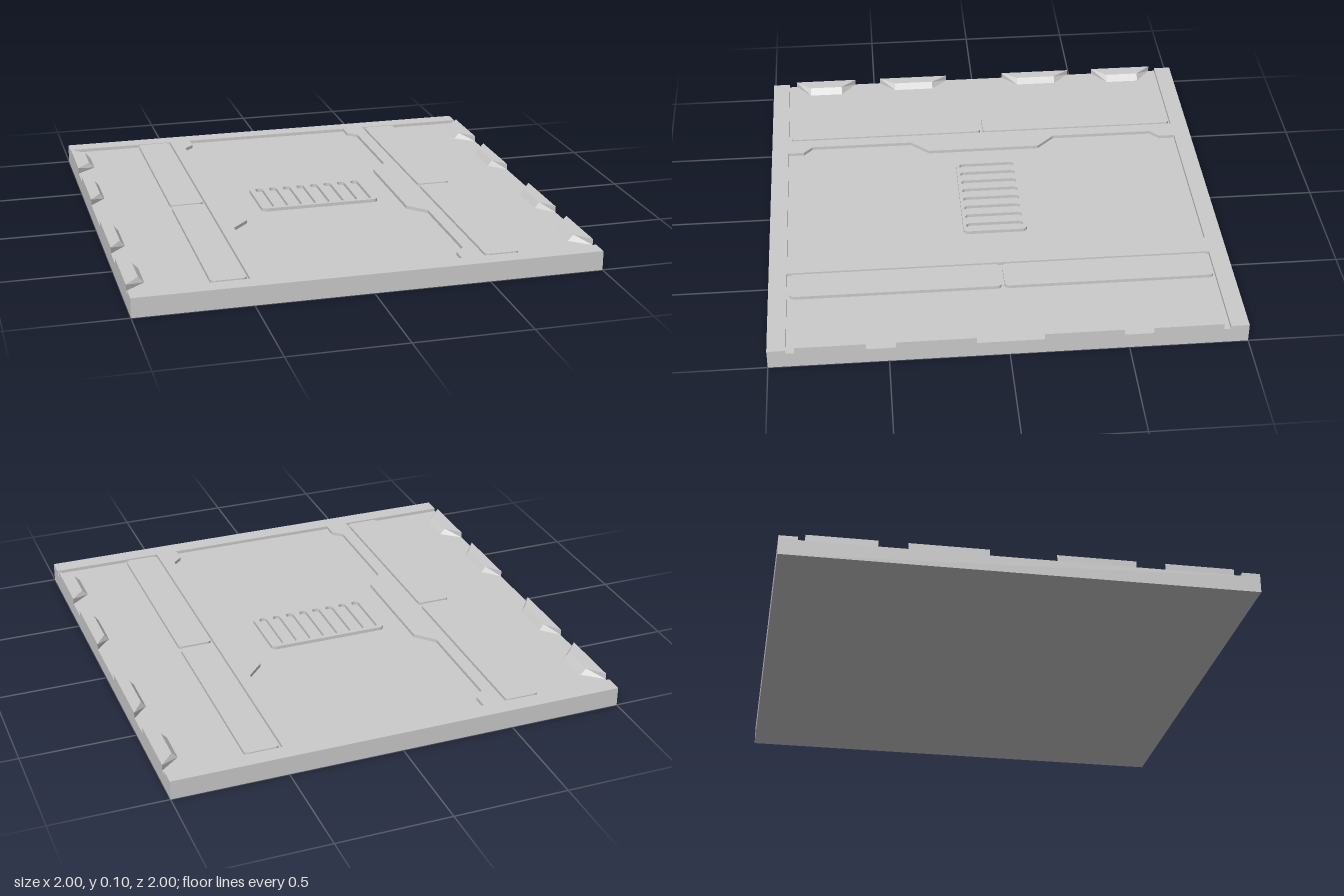
import * as THREE from 'three';

const FLOOR = 0.07, RIM = 0.085, LUG = 0.097;
const material = new THREE.MeshStandardMaterial({ color: 0xcccccc });

const polygon = (points) => points.map(([x, y]) => new THREE.Vector2(x, y));

// Rounded rectangle outline, centred on (cx, 0)
function roundedRect(Type, w, h, r, cx = 0) {
  const x = w / 2 - r, y = h / 2 - r, p = new Type();
  p.absarc(cx + x, y, r, 0, Math.PI / 2);
  p.absarc(cx - x, y, r, Math.PI / 2, Math.PI);
  p.absarc(cx - x, -y, r, Math.PI, 1.5 * Math.PI);
  p.absarc(cx + x, -y, r, 1.5 * Math.PI, 2 * Math.PI);
  p.closePath();
  return p;
}

// Extrude a plan outline upward from the recessed floor
function raise(shape, top) {
  return new THREE.ExtrudeGeometry(shape, { depth: top - FLOOR, bevelEnabled: false, curveSegments: 5 })
    .rotateX(-Math.PI / 2)
    .translate(0, FLOOR, 0);
}

export function createModel() {
  const model = new THREE.Group();
  model.name = 'floorTile';
  const add = (name, geometry) => {
    const mesh = new THREE.Mesh(geometry, material);
    mesh.name = name;
    model.add(mesh);
    return mesh;
  };

  // Base slab
  add('baseSlab', new THREE.BoxGeometry(2, FLOOR, 2).translate(0, FLOOR / 2, 0));

  // Raised frame: two end strips joined by two rails, with a stepped central recess
  const e = 0.922;
  const frame = new THREE.Shape(polygon([
    [-1, -1], [1, -1], [1, -e], [0.5, -e], [0.5, e], [1, e],
    [1, 1], [-1, 1], [-1, e], [-0.5, e], [-0.5, -e], [-1, -e],
  ]));
  const side = [[0.4, e], [0.4, 0.85], [0.443, 0.81], [0.443, 0.34], [0.367, 0.26]];
  const right = [...side, ...side.map(([x, z]) => [x, -z]).reverse()];
  const left = right.map(([x, z]) => [-x, z]).reverse();
  frame.holes.push(new THREE.Path(polygon([...right, ...left])));
  add('raisedFrame', raise(frame, RIM));

  // Long rounded panels beside the rails
  for (const sx of [-1, 1]) {
    for (const sz of [-1, 1]) {
      const panel = add('sidePanel', raise(roundedRect(THREE.Shape, 0.15, 0.905, 0.02), RIM));
      panel.position.set(sx * 0.585, 0, sz * 0.459 - 0.003);
    }
  }

  // Central vent plate with a row of slots
  const vent = roundedRect(THREE.Shape, 0.54, 0.284, 0.022);
  for (let i = 0; i < 8; i++) {
    vent.holes.push(roundedRect(THREE.Path, 0.034, 0.254, 0.0165, (i - 3.5) * 0.065));
  }
  add('ventPlate', raise(vent, RIM)).position.z = -0.003;

  // Edge lugs: trapezoids whose inner face leans outward
  const lugs = [
    { z: 0.743, outer: 0.147, inner: 0.077, foot: 0.915, crest: 0.94 },
    { z: 0.307, outer: 0.167, inner: 0.093, foot: 0.93, crest: 0.95 },
  ];
  for (const { z, outer, inner, foot, crest } of lugs) {
    const geometry = raise(new THREE.Shape(polygon([
      [foot, -inner], [1, -outer], [1, outer], [foot, inner],
    ])), LUG);
    const p = geometry.attributes.position;
    for (let i = 0; i < p.count; i++) {
      if (p.getY(i) > RIM && p.getX(i) < 0.99) p.setX(i, crest);
    }
    geometry.computeVertexNormals();
    for (const turn of [0, Math.PI]) {
      for (const sz of [-1, 1]) {
        const lug = add('edgeLug', geometry);
        lug.rotation.y = turn;
        lug.position.z = sz * z - 0.003;
      }
    }
  }
  return model;
}
